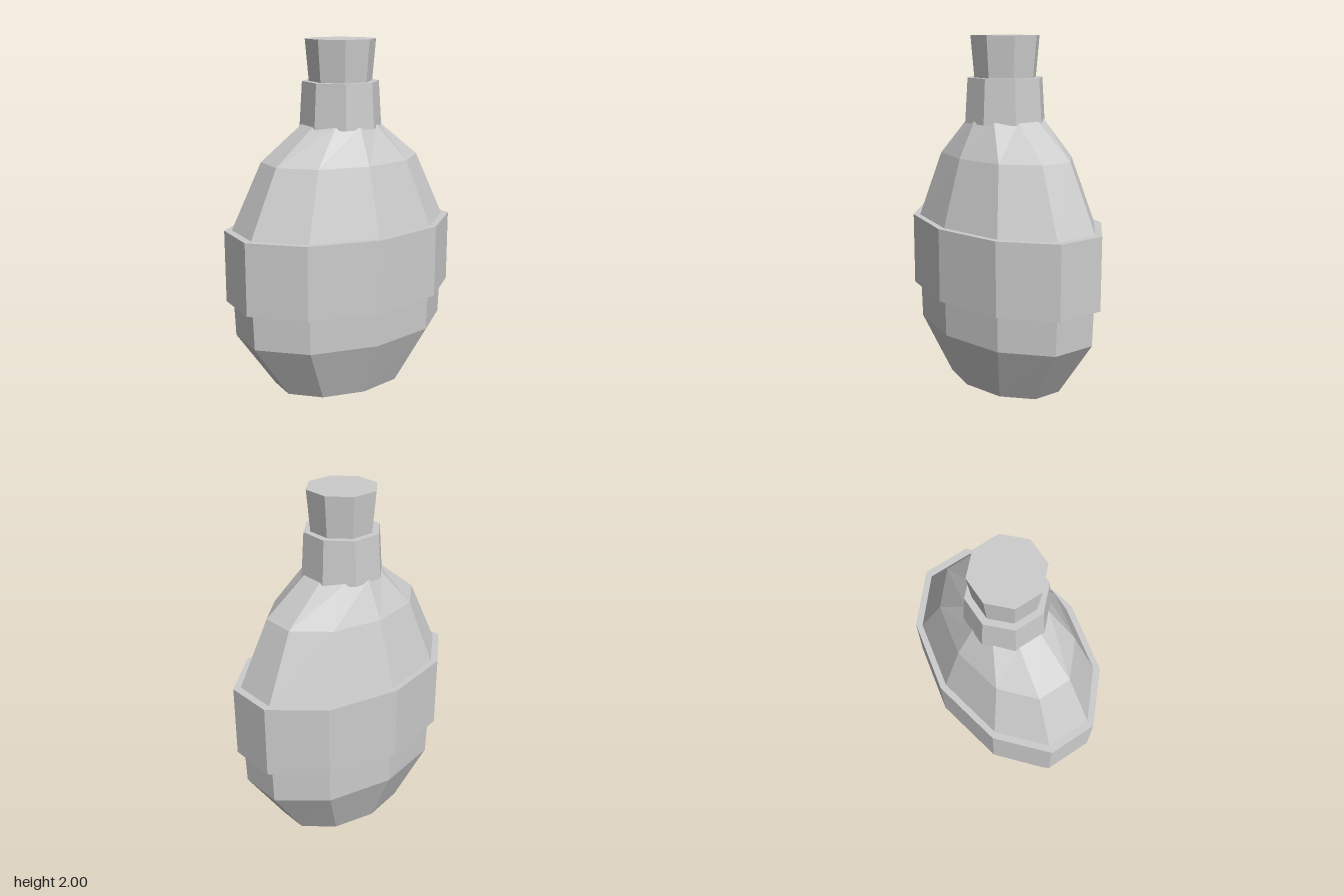
import * as THREE from 'three';

export function createModel() {
  const group = new THREE.Group();
  const grey = new THREE.MeshStandardMaterial({ color: 0xcccccc, flatShading: true });
  grey.name = 'plain grey';

  // Stacks closed n-sided rings [y, x radius, z radius], capped at both ends
  function loft(name, n, offset, rings) {
    const pos = [];
    const point = ([y, rx, rz], i) => {
      const a = ((i + offset) / n) * Math.PI * 2;
      return [Math.sin(a) * rx, y, Math.cos(a) * rz];
    };
    const bottom = rings[0], top = rings[rings.length - 1];
    for (let i = 0; i < n; i++) {
      for (let k = 0; k < rings.length - 1; k++) {
        const a = point(rings[k], i), b = point(rings[k], i + 1);
        const c = point(rings[k + 1], i + 1), d = point(rings[k + 1], i);
        pos.push(...a, ...b, ...c, ...a, ...c, ...d);
      }
      pos.push(0, bottom[0], 0, ...point(bottom, i + 1), ...point(bottom, i));
      pos.push(0, top[0], 0, ...point(top, i), ...point(top, i + 1));
    }
    const geometry = new THREE.BufferGeometry();
    geometry.setAttribute('position', new THREE.Float32BufferAttribute(pos, 3));
    geometry.computeVertexNormals();
    const mesh = new THREE.Mesh(geometry, grey);
    mesh.name = name;
    group.add(mesh);
  }

  // Flattened ten-sided flask
  loft('body', 10, 0, [
    [0, 0.416, 0.277],
    [0.335, 0.65, 0.418],
    [0.545, 0.658, 0.422],
    [0.96, 0.656, 0.422],
    [1.335, 0.476, 0.314],
    [1.535, 0.222, 0.215],
  ]);

  // Wide belt around the middle
  loft('band', 10, 0, [
    [0.545, 0.7, 0.458],
    [0.96, 0.7, 0.458],
  ]);

  // Eight-sided neck and stopper, flat sides facing front
  loft('neck', 8, 0.5, [
    [1.52, 0.232, 0.232],
    [1.77, 0.216, 0.216],
  ]);
  loft('stopper', 8, 0.5, [
    [1.75, 0.176, 0.176],
    [2, 0.198, 0.198],
  ]);

  return group;
}
